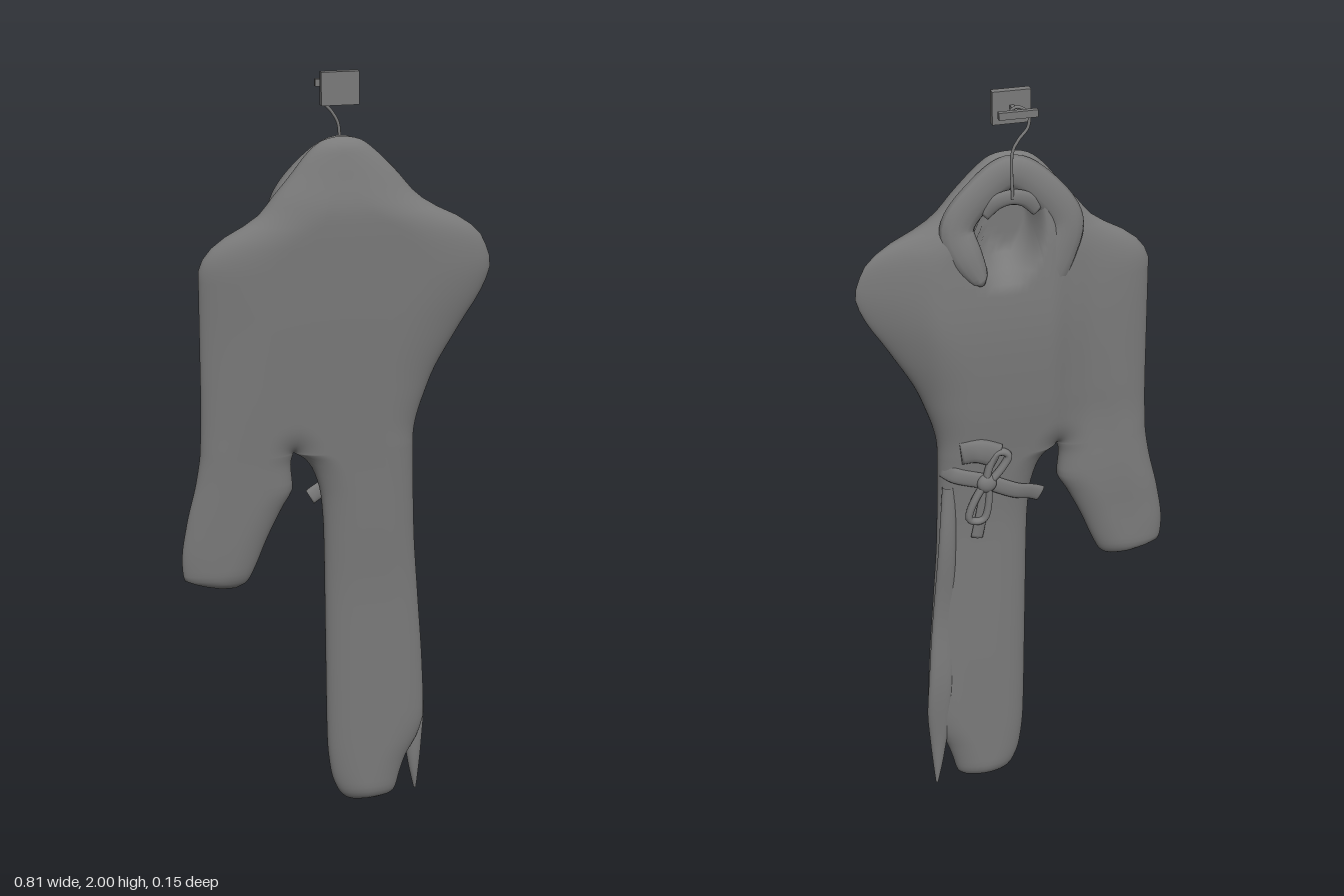
import * as THREE from 'three';
import { mergeVertices } from 'three/addons/utils/BufferGeometryUtils.js';

const V = (x, y, z) => new THREE.Vector3(x, y, z);
const { smoothstep } = THREE.MathUtils;
const darkGrey = new THREE.MeshStandardMaterial({ color: 0x7a7a7a, side: THREE.DoubleSide });

function add(group, name, geometry, x = 0, y = 0, z = 0) {
  const mesh = new THREE.Mesh(geometry, darkGrey);
  mesh.name = name;
  mesh.position.set(x, y, z);
  group.add(mesh);
  return mesh;
}

// smooth curve through [key, value] pairs with falling keys, without overshoot
function curve(...p) {
  const d = p.slice(1).map((q, i) => (q[1] - p[i][1]) / (q[0] - p[i][0]));
  const m = p.map((_, i) => {
    if (i === 0) return d[0];
    if (i === p.length - 1) return d[i - 1];
    return d[i - 1] * d[i] <= 0 ? 0 : (2 * d[i - 1] * d[i]) / (d[i - 1] + d[i]);
  });
  return (y) => {
    if (y >= p[0][0]) return p[0][1];
    if (y <= p[p.length - 1][0]) return p[p.length - 1][1];
    const i = p.findIndex((q) => q[0] <= y) - 1;
    const h = p[i + 1][0] - p[i][0], t = (y - p[i][0]) / h, a = t * t, b = a * t;
    return (2 * b - 3 * a + 1) * p[i][1] + (b - 2 * a + t) * h * m[i]
      + (3 * a - 2 * b) * p[i + 1][1] + (b - a) * h * m[i + 1];
  };
}

// rounded edge: 0 at the border, 1 at distance r and beyond
const round = (d, r) => Math.sqrt(Math.max(0, 1 - (1 - Math.min(Math.max(d / r, 0), 1)) ** 2));
// parameters bunched towards both ends
const spread = (n) => Array.from({ length: n + 1 }, (_, k) => (1 - Math.cos((Math.PI * k) / n)) / 2);
const levels = (top, bottom, n) => spread(n).map((t) => top + (bottom - top) * t);

// front and back skins between the borders left(y) and right(y)
function skins(out, ys, left, right, depth, columns = 28) {
  const us = spread(columns);
  for (const side of [0, 1]) {
    const rows = ys.map((y) => us.map((u) => {
      const x = left(y) + (right(y) - left(y)) * u;
      return [x, y, depth(x, y)[side]];
    }));
    for (let i = 0; i < ys.length - 1; i++) for (let j = 0; j < columns; j++) {
      const a = rows[i][j], b = rows[i + 1][j], c = rows[i + 1][j + 1], d = rows[i][j + 1];
      const quad = side ? [a, c, b, a, d, c] : [a, b, c, a, c, d];
      quad.forEach((v) => out.push(...v));
    }
  }
}

function weld(positions) {
  let g = new THREE.BufferGeometry();
  g.setAttribute('position', new THREE.Float32BufferAttribute(positions, 3));
  g = mergeVertices(g, 1e-5);
  g.computeVertexNormals();
  return g;
}

// flat-oval band swept along a path, facing the back; width and thick are half sizes or functions of t
function band(points, width, thick, n = 60, closed = false) {
  const path = new THREE.CatmullRomCurve3(points, closed), k = 12, pos = [], idx = [];
  const size = (s, t) => (typeof s === 'function' ? s(t) : s);
  for (let i = 0; i <= n; i++) {
    const t = i / n, c = path.getPointAt(t);
    const side = path.getTangentAt(t).cross(V(0, 0, 1)).normalize();
    for (let j = 0; j < k; j++) {
      const a = (j / k) * Math.PI * 2;
      const p = c.clone().addScaledVector(side, Math.cos(a) * size(width, t));
      pos.push(p.x, p.y, p.z + Math.sin(a) * size(thick, t));
      if (i < n) {
        const q = i * k + j, r = i * k + ((j + 1) % k);
        idx.push(q, r, q + k, r, r + k, q + k);
      }
    }
  }
  // end caps
  for (let j = 1; j < k - 1 && !closed; j++) idx.push(0, j + 1, j, n * k, n * k + j, n * k + j + 1);
  const g = new THREE.BufferGeometry();
  g.setAttribute('position', new THREE.Float32BufferAttribute(pos, 3));
  g.setIndex(idx);
  g.computeVertexNormals();
  return g;
}

// silhouette of the garment
const TOP = 1.842, FORK = 1.03, FORK_X = -0.11;
const outerLeft = curve([TOP, 0], [1.835, -0.03], [1.81, -0.065], [1.75, -0.115], [1.7, -0.158], [1.65, -0.2],
  [1.6, -0.285], [1.56, -0.33], [1.52, -0.347], [1.2, -0.347], [1.05, -0.351], [0.97, -0.362], [0.85, -0.39],
  [0.75, -0.404], [0.7, -0.4], [0.68, -0.36], [0.664, -0.3]);
const outerRight = curve([TOP, 0.03], [1.835, 0.06], [1.81, 0.095], [1.75, 0.155], [1.69, 0.208], [1.65, 0.27],
  [1.62, 0.33], [1.57, 0.38], [1.5, 0.402], [1.44, 0.382], [1.35, 0.327], [1.2, 0.245], [1.05, 0.206],
  [0.8, 0.212], [0.6, 0.226], [0.4, 0.241], [0.25, 0.247], [0.18, 0.228], [0.13, 0.2], [0.08, 0.183],
  [0.02, 0.165], [0.003, 0.12]);
const seam = curve([TOP, 0.015], [1.6, -0.05], [FORK, FORK_X]);
const sleeveInner = curve([FORK, FORK_X], [1.0, -0.117], [0.93, -0.112], [0.9, -0.13], [0.8, -0.18],
  [0.72, -0.213], [0.68, -0.235], [0.664, -0.265]);
const skirtLeft = curve([FORK, FORK_X], [1.01, -0.08], [0.97, -0.055], [0.9, -0.037], [0.8, -0.03],
  [0.5, -0.025], [0.2, -0.02], [0.1, -0.01], [0.04, 0.01], [0.012, 0.035], [0.003, 0.06]);

// thickness of the cloth volume
const radius = curve([TOP, 0.05], [1.75, 0.12], [1.6, 0.18], [1.4, 0.18], [1.1, 0.1], [FORK, 0.08], [0, 0.08]);
const frontDepth = curve([TOP, 0.02], [1.75, 0.042], [1.65, 0.06], [1.5, 0.058], [1.2, 0.049], [1, 0.042],
  [0.8, 0.037], [0.6, 0.032], [0, 0.032]);
const backDepth = curve([TOP, 0.025], [1.75, 0.048], [1.65, 0.06], [1.4, 0.076], [1.2, 0.066], [1, 0.046],
  [0.8, 0.036], [0, 0.038]);
const middle = curve([1.6, 0.012], [1, 0.008], [0.5, 0.003], [0, 0]);
// share of the back depth across the chest: full in the centre, hollow beside the sleeve
const backShare = curve([0.4, 0.25], [0.33, 0.5], [0.27, 0.75], [0.2, 1], [-0.07, 1], [-0.14, 0.72],
  [-0.2, 0.54], [-0.3, 0.6]);

function clothDepth(left, right, bottom) {
  return (x, y) => {
    const r = radius(y);
    let f = round(TOP - y, 0.03) * round(y - bottom, 0.05);
    if (y >= FORK) {
      f *= round(x - outerLeft(y), r) * round(outerRight(y) - x, r);
      f *= round(Math.hypot(x - FORK_X, y - FORK), 0.08);
    } else f *= round(x - left(y), r) * round(right(y) - x, r);
    // neck opening sunk into the back
    const hole = 1 - smoothstep(Math.hypot((x - 0.03) / 0.09, (y - 1.67) / 0.14), 0.6, 1.1);
    // thinner towards both shoulders
    const front = 1 - (x < 0.03 ? 0.32 : 0.42) * ((x - 0.03) / 0.4) ** 2;
    const back = THREE.MathUtils.lerp(1, backShare(x), smoothstep(y, 0.85, 1.15));
    const m = middle(y);
    return [m + frontDepth(y) * f * front, m - backDepth(y) * f * back * (1 - 1.1 * hole)];
  };
}

export function createModel() {
  const model = new THREE.Group();

  // robe: sleeve half and skirt half joined along a seam above the fork
  const robe = [];
  const either = (above, below) => (y) => (y >= FORK ? above(y) : below(y));
  const upper = levels(TOP, FORK, 44);
  skins(robe, [...upper, ...levels(FORK, 0.664, 26).slice(1)], outerLeft, either(seam, sleeveInner),
    clothDepth(outerLeft, sleeveInner, 0.664));
  skins(robe, [...upper, ...levels(FORK, 0.003, 44).slice(1)], either(seam, skirtLeft), outerRight,
    clothDepth(skirtLeft, outerRight, 0.003));
  add(model, 'robe', weld(robe));

  // overlapping edge of the skirt
  const flapLeft = curve([0.95, 0.165], [0.5, 0.175], [0.2, 0.192], [0.14, 0.202], [0.08, 0.212], [0.01, 0.228]);
  const flapRight = curve([0.95, 0.2], [0.8, 0.213], [0.6, 0.228], [0.4, 0.245], [0.25, 0.254], [0.15, 0.247],
    [0.01, 0.235]);
  const flap = [];
  skins(flap, levels(0.95, 0.01, 36), flapLeft, flapRight, (x, y) => {
    const f = round(x - flapLeft(y), 0.02) * round(flapRight(y) - x, 0.02);
    const z = -0.02 + 0.005 * Math.sin(y * 14);
    return [z + 0.012 * f, z - 0.012 * f];
  }, 10);
  add(model, 'skirtFlap', weld(flap));

  // rolled collar running down into the flat overlapping lapel
  const collar = [V(0.1, 1.53, -0.046), V(0.135, 1.6, -0.042), V(0.155, 1.67, -0.028), V(0.1, 1.745, -0.02),
    V(0.015, 1.797, -0.012), V(-0.065, 1.745, -0.02), V(-0.12, 1.66, -0.028), V(-0.1, 1.58, -0.036),
    V(-0.06, 1.5, -0.044), V(0.0, 1.36, -0.05), V(0.06, 1.22, -0.044), V(0.1, 1.08, -0.034)];
  add(model, 'collar', band(collar, (t) => 0.012 + 0.032 * round(t, 0.12) * round(1 - t, 0.5),
    (t) => 0.012 + 0.009 * (1 - smoothstep(t, 0.4, 0.7)), 100));

  // belt with a bow and hanging ends
  const belt = new THREE.Group();
  belt.name = 'belt';
  model.add(belt);
  add(belt, 'beltBand', band([V(0.198, 1.0, -0.005), V(0.17, 0.99, -0.033), V(0.09, 0.965, -0.042),
    V(0.01, 0.925, -0.038), V(-0.04, 0.905, -0.022), V(-0.062, 0.893, -0.016)], 0.022, 0.007));
  add(belt, 'beltFold', band([V(0.155, 1.055, -0.036), V(0.11, 1.06, -0.046), V(0.06, 1.04, -0.046)], 0.034, 0.011, 16));
  add(belt, 'bowKnot', new THREE.SphereGeometry(0.026, 16, 12), 0.09, 0.965, -0.05).scale.z = 0.6;
  const loops = { upperLoop: [-0.045, 0.085], lowerLoop: [0.03, -0.11] };
  for (const [name, [dx, dy]] of Object.entries(loops)) {
    const w = 0.17, at = (s, k) => V(0.09 + dx * s - dy * k, 0.965 + dy * s + dx * k, -0.049);
    add(belt, name, band([at(0, 0), at(0.5, w), at(0.95, w), at(1, 0), at(0.9, -w), at(0.5, -w)], 0.01, 0.011, 40, true));
  }
  add(belt, 'beltEnd', band([V(0.09, 0.965, -0.048), V(0.1, 0.89, -0.044), V(0.115, 0.8, -0.038)], 0.016, 0.007, 20));

  // wall hook: two plates on a peg
  add(model, 'hookPlate', new THREE.BoxGeometry(0.095, 0.082, 0.02), 0.0125, 1.959, 0);
  add(model, 'hookPeg', new THREE.BoxGeometry(0.01, 0.01, 0.06), 0.0125, 1.96, -0.035);
  add(model, 'hookBar', new THREE.BoxGeometry(0.095, 0.018, 0.013), 0.0125, 1.962, -0.067);

  // hanger: wire hook and short sloping arms in the neck opening
  const wire = [V(0.02, 1.74, -0.045), V(0.02, 1.86, -0.045), V(0.005, 1.89, -0.045), V(-0.018, 1.92, -0.045),
    V(-0.018, 1.955, -0.045), V(0.0125, 1.972, -0.045), V(0.035, 1.95, -0.045)];
  add(model, 'hangerWire', new THREE.TubeGeometry(new THREE.CatmullRomCurve3(wire), 50, 0.004, 8));
  add(model, 'hangerArms', band([V(-0.05, 1.7, -0.026), V(-0.015, 1.732, -0.034), V(0.02, 1.742, -0.037),
    V(0.055, 1.732, -0.034), V(0.09, 1.7, -0.026)], 0.02, 0.008, 30));

  return model;
}
